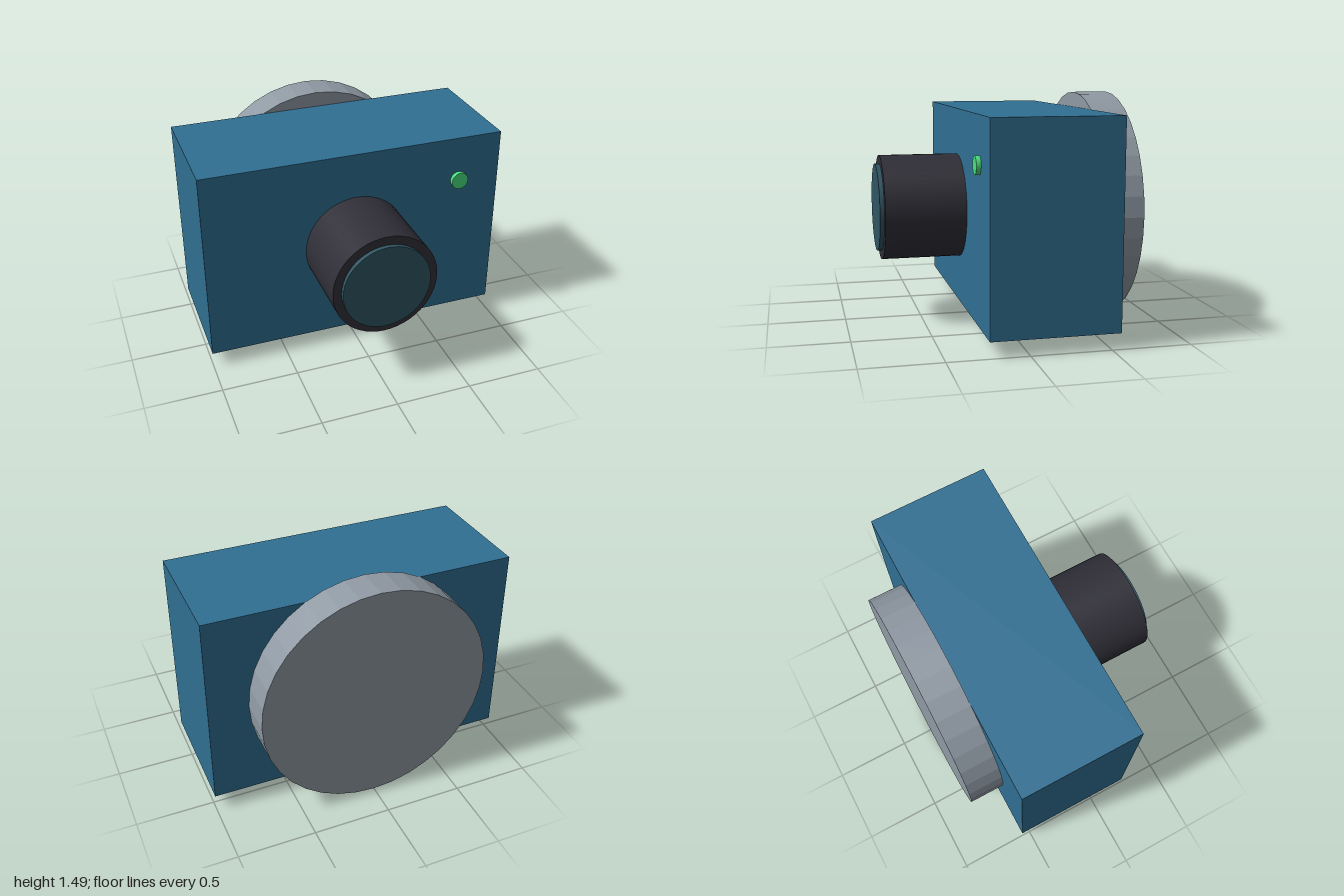
import * as THREE from 'three';

const material = (name, color, flatShading = false) => {
  const m = new THREE.MeshStandardMaterial({ color, flatShading });
  m.name = name;
  return m;
};

export function createModel() {
  const model = new THREE.Group();
  model.name = 'camera';
  const blue = material('body blue', 0x306f92);
  const black = material('barrel black', 0x302f38);
  const teal = material('glass teal', 0x305563);
  const grey = material('plate grey', 0x909aa4, true);
  const green = material('indicator green', 0x4ade80);

  const add = (name, geometry, mat, x, y, z) => {
    const mesh = new THREE.Mesh(geometry, mat);
    mesh.name = name;
    mesh.position.set(x, y, z);
    model.add(mesh);
  };
  // Cylinder along z, spanning back to front
  const disc = (name, radius, back, front, sides, mat, x, y) =>
    add(name, new THREE.CylinderGeometry(radius, radius, front - back, sides).rotateX(Math.PI / 2),
      mat, x, y, (back + front) / 2);

  // Box body
  add('body', new THREE.BoxGeometry(2, 1.285, 0.8), blue, 0, 0.743, -0.157);

  // Lens barrel with a slightly proud glass
  disc('lensBarrel', 0.341, 0.243, 0.758, 48, black, 0, 0.745);
  disc('lensGlass', 0.285, 0.74, 0.786, 48, teal, 0, 0.745);

  // Indicator light on the front
  disc('indicatorLight', 0.057, 0.243, 0.272, 24, green, 0.714, 1.088);

  // Large round plate on the back
  disc('backPlate', 0.743, -0.786, -0.557, 36, grey, 0, 0.743);

  return model;
}
